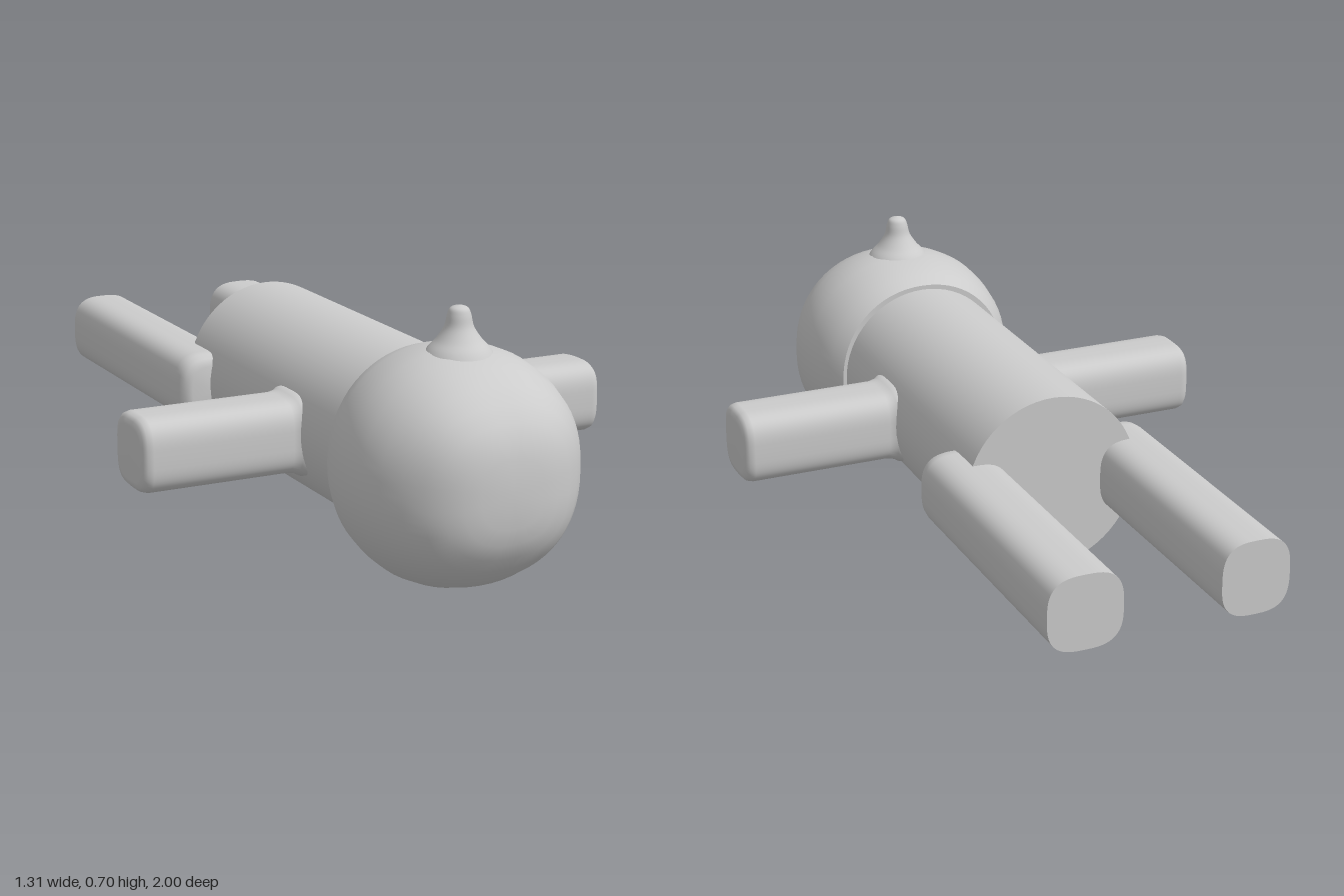
import * as THREE from 'three';

const SIDES = 64;
const MID_Y = 0.3;
const material = new THREE.MeshStandardMaterial({ color: 0xcccccc });

// Smooth skin along z through sections [z, rx, ry, squareness]; a repeated section makes a hard edge.
function loft(sections) {
  const positions = [], indices = [];
  const power = (v, n) => Math.sign(v) * Math.pow(Math.abs(v), 2 / n);
  for (const [z, rx, ry, n] of sections) {
    for (let j = 0; j < SIDES; j++) {
      const a = (j / SIDES) * Math.PI * 2;
      positions.push(rx * power(Math.cos(a), n), ry * power(Math.sin(a), n), z);
    }
  }
  for (let i = 0; i < sections.length - 1; i++) {
    for (let j = 0; j < SIDES; j++) {
      const k = (j + 1) % SIDES;
      const a = i * SIDES + j, b = i * SIDES + k;
      indices.push(a, b, b + SIDES, a, b + SIDES, a + SIDES);
    }
  }
  const geometry = new THREE.BufferGeometry();
  geometry.setAttribute('position', new THREE.Float32BufferAttribute(positions, 3));
  geometry.setIndex(indices);
  geometry.computeVertexNormals();
  return geometry;
}

export function createModel() {
  const model = new THREE.Group();
  const add = (name, geometry, x, y, z) => {
    const mesh = new THREE.Mesh(geometry, material);
    mesh.name = name;
    mesh.position.set(x, y, z);
    model.add(mesh);
    return mesh;
  };

  // Body: plain cylinder lying along z
  const body = add('body', new THREE.CylinderGeometry(0.235, 0.235, 0.9, SIDES), 0, 0.305, 0.11);
  body.rotation.x = Math.PI / 2;

  // Head: full and round, flattened at the face, cut flat at the neck
  add('head', loft([
    [0.535, 0, 0, 2.1], [0.535, 0.245, 0.252, 2.1], [0.535, 0.245, 0.252, 2.1],
    [0.57, 0.27, 0.272, 2.1], [0.62, 0.289, 0.287, 2.1], [0.68, 0.299, 0.296, 2.1],
    [0.73, 0.301, 0.298, 2.1], [0.79, 0.296, 0.288, 2.1], [0.85, 0.275, 0.268, 2.15],
    [0.9, 0.243, 0.237, 2.3], [0.94, 0.207, 0.202, 2.5], [0.97, 0.168, 0.164, 2.6],
    [0.988, 0.125, 0.125, 2.6], [0.996, 0.085, 0.085, 2.5], [1, 0.04, 0.04, 2.2], [1, 0, 0, 2],
  ]), 0, MID_Y, 0);

  // Small pointed knob on the crown
  const profile = new THREE.SplineCurve([
    [0.1, -0.03], [0.078, 0.01], [0.055, 0.036], [0.036, 0.066], [0.029, 0.095],
    [0.021, 0.112], [0, 0.119],
  ].map(([r, y]) => new THREE.Vector2(r, y)));
  const knobPoints = profile.getPoints(28).map((p) => new THREE.Vector2(Math.max(p.x, 0), p.y));
  add('crownKnob', new THREE.LatheGeometry(knobPoints, 40), 0, 0.58, 0.73);

  for (const side of [1, -1]) {
    const prefix = side > 0 ? 'left' : 'right';

    // Arm: rounded square bar with a small flare where it meets the body
    const arm = add(prefix + 'Arm', loft([
      [0.1, 0.115, 0.11, 3.4], [0.215, 0.115, 0.108, 3.4], [0.228, 0.104, 0.101, 3.4],
      [0.25, 0.097, 0.097, 3.4], [0.63, 0.097, 0.097, 3.4], [0.645, 0.093, 0.093, 3.4],
      [0.654, 0.084, 0.084, 3.4], [0.657, 0.07, 0.07, 3.4], [0.657, 0, 0, 3.4],
    ]), 0, 0.293, 0.253);
    arm.rotation.y = (side * Math.PI) / 2;

    // Leg: rounded square bar, soft at the hip and cut square at the foot
    const half = side > 0 ? 0.098 : 0.091;
    add(prefix + 'Leg', loft([
      [-1, 0, 0, 3], [-1, half, 0.097, 3], [-1, half, 0.097, 3],
      [-0.25, half, 0.097, 3], [-0.225, half * 0.97, 0.095, 3], [-0.208, half * 0.85, 0.085, 3],
      [-0.2, half * 0.65, 0.065, 3], [-0.2, 0, 0, 3],
    ]), side > 0 ? 0.218 : -0.228, 0.293, 0);
  }

  return model;
}
